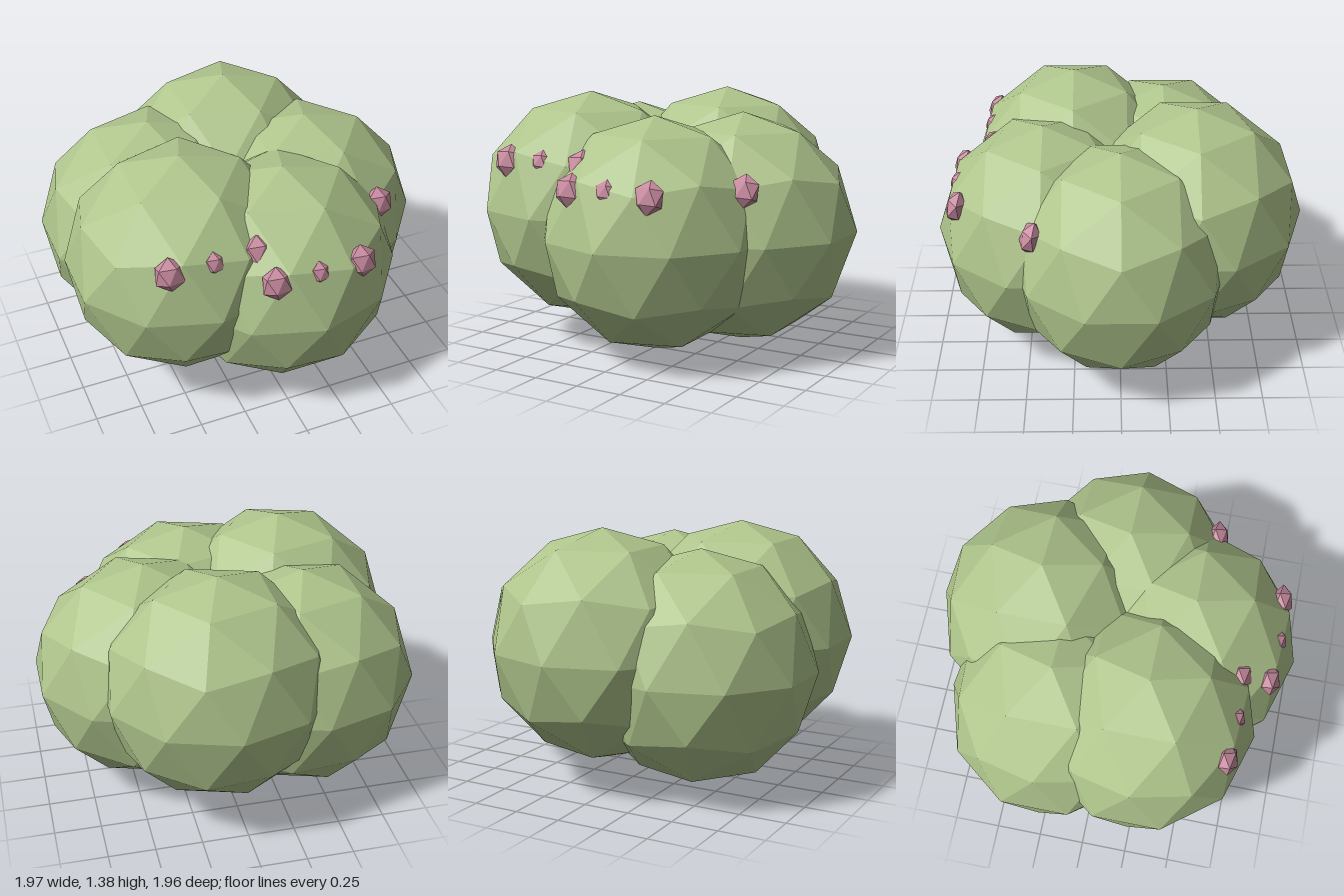
import * as THREE from 'three';

const mat = (color) => new THREE.MeshStandardMaterial({ color, flatShading: true });

// Icosphere standing on one of its corners, with an upper corner towards +x
function icoBall(detail) {
  const g = new THREE.IcosahedronGeometry(1, detail);
  g.rotateZ(-Math.atan(2 / (1 + Math.sqrt(5))));
  return g;
}

export function createModel() {
  const model = new THREE.Group();
  const leafMat = mat(0xafc58c);
  const woodMat = mat(0x7d6258);
  const berryMat = mat(0xc78a9e);
  const leafGeo = icoBall(1);
  const berryGeo = icoBall(0);
  const up = new THREE.Vector3(0, 1, 0);
  const base = new THREE.Vector3(-0.045, 0.028, 0);

  // Berries on the front of a lobe: offset from its centre, and size
  const berrySpots = [
    [-0.22, 0.275, 0.45, 0.085],
    [0, 0.285, 0.465, 0.06],
    [0.235, 0.275, 0.45, 0.085],
  ];
  const berriesOnLobe = { 0: [2], 3: [0, 1, 2], 4: [0, 1, 2] };

  // Five leafy lobes in a ring, alternately low and high, each on a branch
  for (let i = 0; i < 5; i++) {
    const a = (i * Math.PI * 2) / 5;
    const centre = new THREE.Vector3(
      -0.045 + 0.44 * Math.cos(a),
      i % 2 ? 0.76 : 0.665,
      -0.42 * Math.sin(a)
    );

    const lobe = new THREE.Mesh(leafGeo, leafMat);
    lobe.name = 'leafLobe' + (i + 1);
    lobe.position.copy(centre);
    lobe.scale.set(0.615, 0.617, 0.582);
    model.add(lobe);

    // Branch from the foot to the middle of the lobe
    const dir = centre.clone().sub(base);
    const branch = new THREE.Mesh(new THREE.CylinderGeometry(0.035, 0.05, dir.length(), 6), woodMat);
    branch.name = 'branch' + (i + 1);
    branch.position.copy(base).addScaledVector(dir, 0.5);
    branch.quaternion.setFromUnitVectors(up, dir.normalize());
    model.add(branch);

    for (const k of berriesOnLobe[i] || []) {
      const [x, y, z, r] = berrySpots[k];
      const berry = new THREE.Mesh(berryGeo, berryMat);
      berry.name = 'berry';
      berry.position.set(centre.x + x, centre.y + y, centre.z + z);
      berry.scale.set(r, r * 1.05, r * 0.65);
      berry.rotation.x = -0.3;
      model.add(berry);
    }
  }

  // Flat foot where the branches meet
  const foot = new THREE.Mesh(new THREE.CylinderGeometry(0.075, 0.05, 0.06, 8), woodMat);
  foot.name = 'foot';
  foot.position.set(-0.045, 0.03, 0);
  model.add(foot);

  return model;
}
